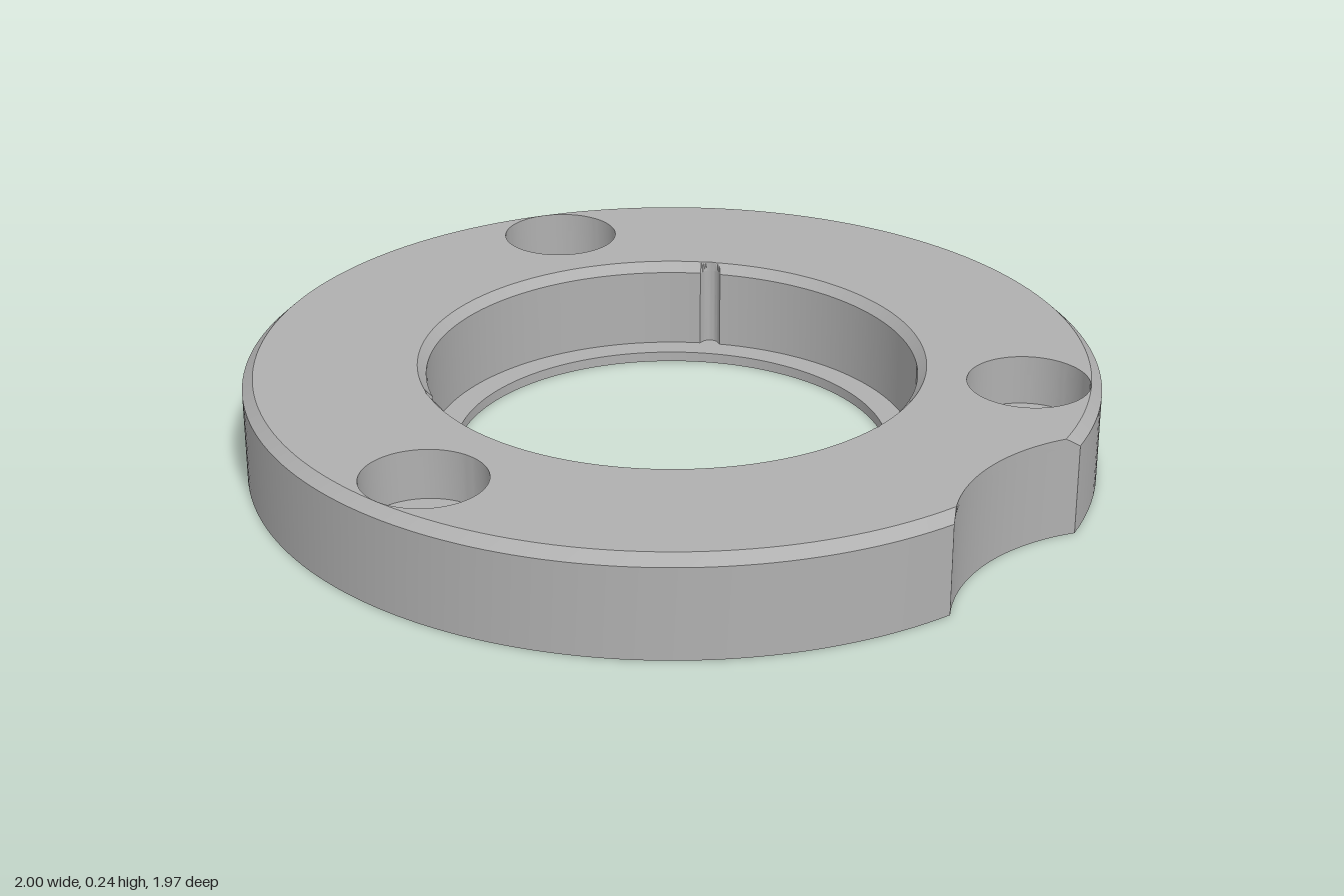
import * as THREE from 'three';
import { toCreasedNormals } from 'three/addons/utils/BufferGeometryUtils.js';

const HEIGHT = 0.24, CHAMFER_Y = 0.217, LIP_Y = 0.025;
const NOTCH_R = 0.464, NOTCH_Z = 1.364;

// All loops are [x, z] points running from +x towards +z.
function circle(r, cx = 0, cz = 0, n = 96) {
  return Array.from({ length: n }, (_, i) => {
    const a = (i / n) * Math.PI * 2;
    return [cx + r * Math.cos(a), cz + r * Math.sin(a)];
  });
}

// Outer disc outline with the round bite at the front
function outline(R) {
  const z = (R * R - NOTCH_R * NOTCH_R + NOTCH_Z * NOTCH_Z) / (2 * NOTCH_Z);
  const x = Math.sqrt(R * R - z * z);
  const start = Math.atan2(z, -x), sweep = Math.PI * 2 - 2 * Math.atan2(x, z);
  const half = Math.atan2(x, NOTCH_Z - z);
  const points = [];
  for (let i = 0; i < 180; i++) {
    const a = start + (sweep * i) / 180;
    points.push([R * Math.cos(a), R * Math.sin(a)]);
  }
  for (let i = 0; i < 32; i++) {
    const a = half * (1 - i / 16);
    points.push([NOTCH_R * Math.sin(a), NOTCH_Z - NOTCH_R * Math.cos(a)]);
  }
  return points;
}

// Bore outline with three small round grooves
function bore(R) {
  const c = 0.575, g = 0.022, n = 720;
  return Array.from({ length: n }, (_, i) => {
    const a = (i / n) * Math.PI * 2;
    let r = R;
    for (const groove of [Math.PI / 2, -Math.PI / 6, -Math.PI * 5 / 6]) {
      const s = c * Math.sin(a - groove), k = Math.cos(a - groove);
      if (k > 0 && Math.abs(s) < g) r = Math.max(r, c * k + Math.sqrt(g * g - s * s));
    }
    return [r * Math.cos(a), r * Math.sin(a)];
  });
}

// Band between two matching loops, facing outwards or inwards
function wall(low, y0, high, y1, inward = false) {
  const n = low.length, pos = [], index = [];
  for (let i = 0; i < n; i++) {
    pos.push(low[i][0], y0, low[i][1], high[i][0], y1, high[i][1]);
    const a = 2 * i, b = 2 * ((i + 1) % n);
    if (inward) index.push(a, b, a + 1, a + 1, b, b + 1);
    else index.push(a, a + 1, b, a + 1, b + 1, b);
  }
  const geo = new THREE.BufferGeometry();
  geo.setAttribute('position', new THREE.Float32BufferAttribute(pos, 3));
  geo.setIndex(index);
  return toCreasedNormals(geo, 0.55);
}

// Flat face with holes, facing up or down
function cap(loop, holes, y, up) {
  const vectors = (points) => points.map(([x, z]) => new THREE.Vector2(x, z));
  const shape = new THREE.Shape(vectors(loop));
  shape.holes = holes.map((h) => new THREE.Path(vectors(h)));
  const geo = new THREE.ShapeGeometry(shape).rotateX(Math.PI / 2).translate(0, y, 0);
  if (up) {
    geo.setIndex(Array.from(geo.index.array).reverse());
    geo.computeVertexNormals();
  }
  return geo;
}

export function createModel() {
  const model = new THREE.Group();
  model.name = 'mountingRing';
  const metal = new THREE.MeshStandardMaterial({ color: 0xb0b0b0 });
  metal.name = 'grey metal';
  const add = (name, geo, parent = model) => {
    const mesh = new THREE.Mesh(geo, metal);
    mesh.name = name;
    mesh.position.z = 0.01;
    parent.add(mesh);
  };

  const rim = outline(1), topRim = outline(0.975);
  const lip = circle(0.512, 0, 0, 180), boreWall = bore(0.575), boreTop = bore(0.595);
  const centres = [Math.PI, Math.PI / 3, -Math.PI / 3]
    .map((a) => [0.832 * Math.cos(a), 0.832 * Math.sin(a)]);
  const topHoles = centres.map(([x, z]) => circle(0.142, x, z));
  const bottomHoles = centres.map(([x, z]) => circle(0.152, x, z));

  // Disc faces and outer rim
  add('topFace', cap(topRim, [boreTop, ...topHoles], HEIGHT, true));
  add('bottomFace', cap(rim, [lip, ...bottomHoles], 0, false));
  add('outerWall', wall(rim, 0, rim, CHAMFER_Y));
  add('outerChamfer', wall(rim, CHAMFER_Y, topRim, HEIGHT));

  // Central bore with a thin lip at the bottom
  add('boreChamfer', wall(boreWall, CHAMFER_Y, boreTop, HEIGHT, true));
  add('boreWall', wall(boreWall, LIP_Y, boreWall, CHAMFER_Y, true));
  add('lipTop', cap(boreWall, [lip], LIP_Y, true));
  add('lipEdge', wall(lip, 0, lip, LIP_Y, true));

  // Bolt holes, counterbored from both sides
  centres.forEach(([x, z], i) => {
    const hole = new THREE.Group();
    hole.name = 'boltHole' + (i + 1);
    model.add(hole);
    const shaft = circle(0.092, x, z), top = topHoles[i], bottom = bottomHoles[i];
    add('upperCounterbore', wall(top, 0.12, top, HEIGHT, true), hole);
    add('upperSeat', cap(top, [shaft], 0.12, true), hole);
    add('shaft', wall(shaft, 0.048, shaft, 0.12, true), hole);
    add('lowerSeat', cap(bottom, [shaft], 0.048, false), hole);
    add('lowerCounterbore', wall(bottom, 0, bottom, 0.048, true), hole);
  });
  return model;
}
